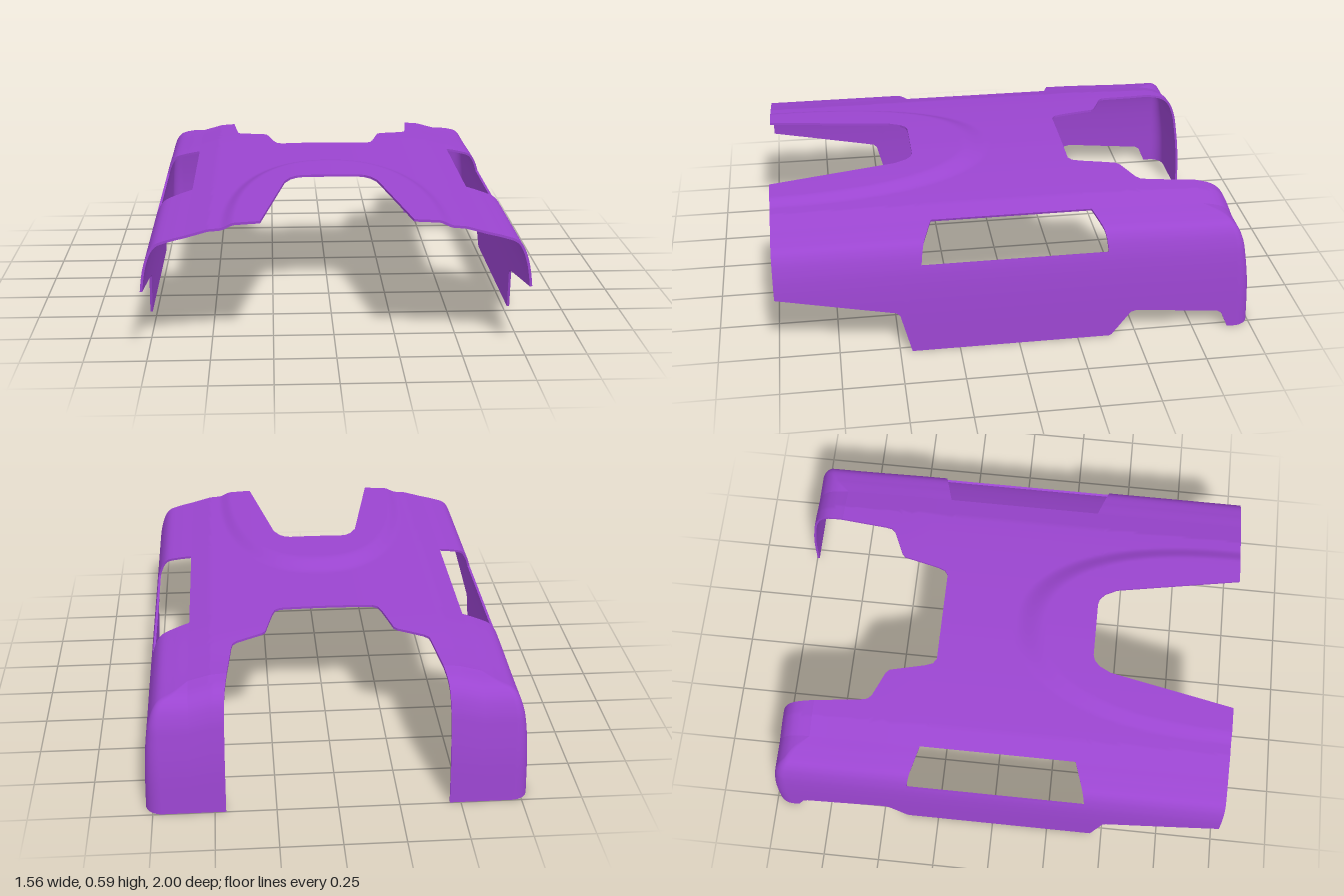
import * as THREE from 'three';

const HALF = 0.78, INSET = 0.19, EDGE = HALF - INSET, REAR = -1 + INSET, THICK = 0.01, TOP = 7, SILL = 3;
const { lerp, clamp, smoothstep } = THREE.MathUtils;

// Piecewise linear lookup; keys ascend
function lookup(pts, k) {
  if (k <= pts[0][0]) return pts[0][1];
  for (let i = 1; i < pts.length; i++) {
    const [k0, v0] = pts[i - 1], [k1, v1] = pts[i];
    if (k <= k1) return lerp(v0, v1, (k - k0) / (k1 - k0));
  }
  return pts[pts.length - 1][1];
}

// Outlines: front notch, rear notch and lower side edge, all along z
const frontNotch = [[0.38, 0.12], [0.387, 0.145], [0.41, 0.17], [0.46, 0.195], [1, 0.297]];
const rearNotch = [[-1, 0.455], [-0.61, 0.414], [-0.58, 0.408], [-0.562, 0.39], [-0.515, 0.285],
  [-0.5, 0.27], [-0.35, 0.235], [-0.315, 0.222], [-0.3, 0.2]];
const lowerEdge = [[-0.9, 0], [-0.87, 0.07], [-0.85, 0.083], [-0.5, 0.117], [-0.475, 0.11], [-0.395, 0.005],
  [-0.385, 0], [0.45, 0], [0.495, 0.175], [0.51, 0.19], [1, 0.29]];
const keys = (pts) => pts.map((p) => p[0]);

// Wall profile: (side inset, height, rear inset)
const wall = new THREE.CatmullRomCurve3([
  [0, 0, 0], [0.007, 0.2, 0.012], [0.018, 0.33, 0.03], [0.03, 0.395, 0.043],
  [0.05, 0.45, 0.065], [0.075, 0.48, 0.09], [0.13, 0.5, 0.125], [INSET, 0.515, INSET],
].map((p) => new THREE.Vector3(...p)));
const profile = (w) => wall.getPoint(clamp(w / TOP, 0, 1));
function levelAt(y) {
  let lo = 0, hi = SILL;
  for (let i = 0; i < 30; i++) {
    const m = (lo + hi) / 2;
    if (profile(m).y < y) lo = m; else hi = m;
  }
  return y <= 0 ? 0 : hi;
}

// Roof height with the raised horseshoe panel
function height(x, z) {
  const base = x < 0.5 ? 0.56 - 0.08 * x * x : lerp(0.54, 0.515, (x - 0.5) / (EDGE - 0.5));
  const r = Math.pow(Math.pow(x / 0.43, 2.3) + Math.pow(Math.abs(1 - z) / 0.92, 2.3), 1 / 2.3);
  const raise = (0.03 - 0.012 * Math.max(z, 0)) * (1 - smoothstep(r, 0.92, 1.06));
  return base + raise - 0.01 * (1 - smoothstep(z, REAR, -0.4));
}

// Points on the roof, side wall, rear corner and rear wall
const roofPoint = (x, z) => new THREE.Vector3(x, height(x, z), z);
const lift = (x, z) => height(x, z) / 0.515;
function sidePoint(z, w) {
  const p = profile(w);
  return new THREE.Vector3(HALF - p.x, p.y * lift(EDGE, z), z);
}
function cornerPoint(c, w) {
  const p = profile(w), r = 0.07 * (1 - w / TOP);
  const X = HALF - p.x, Z = -1 + p.z;
  const a = clamp(c - 1, 0, 1) * Math.PI / 2;
  let x = X - r + r * Math.cos(a), z = Z + r - r * Math.sin(a);
  if (c < 1) z = lerp(REAR, Z + r, c);
  if (c > 2) x = lerp(X - r, EDGE, c - 2);
  return new THREE.Vector3(x, p.y * lift(EDGE, REAR), z);
}
function rearPoint(f, w) {
  const p = profile(w), z = -1 + p.z;
  const x = lerp(EDGE, lookup(rearNotch, z), f);
  return new THREE.Vector3(x, p.y * lift(x, REAR), z);
}

// Sample positions that include every break
function steps(breaks, h) {
  const out = [breaks[0]];
  for (let i = 1; i < breaks.length; i++) {
    const n = Math.max(1, Math.ceil(Math.abs(breaks[i] - breaks[i - 1]) / h - 1e-6));
    for (let j = 1; j <= n; j++) out.push(lerp(breaks[i - 1], breaks[i], j / n));
  }
  return out;
}

// Thin curved panel: outer and inner skins, plus rims on the open edges
function panel(fn, as, bs, rims = {}) {
  const pos = [], nor = [], idx = [], e = 1e-3;
  const na = as.length, nb = bs.length;
  const inside = (v, l) => clamp(v, Math.min(l[0], l[l.length - 1]) + e, Math.max(l[0], l[l.length - 1]) - e);
  const normalAt = (a0, b0) => {
    const a = inside(a0, as), b = inside(b0, bs);
    const da = fn(a + e, b).sub(fn(a - e, b)), db = fn(a, b + e).sub(fn(a, b - e));
    return da.cross(db).normalize();
  };
  const am = as[na >> 1], bm = bs[nb >> 1];
  const sign = Math.sign(normalAt(am, bm).dot(fn(am, bm).sub(new THREE.Vector3(0.3, 0, 0))));
  const outer = [], inner = [];
  for (const a of as) for (const b of bs) {
    const p = fn(a, b), n = normalAt(a, b).multiplyScalar(sign);
    outer.push(p);
    inner.push(p.clone().addScaledVector(n, -THICK));
    pos.push(...p.toArray());
    nor.push(...n.toArray());
  }
  inner.forEach((p) => pos.push(...p.toArray()));
  nor.push(...nor.map((v) => -v));
  const flip = sign * Math.sign((as[na - 1] - as[0]) * (bs[nb - 1] - bs[0])) < 0;
  const tri = (i, j, k, f) => idx.push(...(f ? [i, k, j] : [i, j, k]));
  for (let i = 0; i < na - 1; i++) for (let j = 0; j < nb - 1; j++) {
    const q = i * nb + j, s = na * nb;
    for (const [o, f] of [[0, flip], [s, !flip]]) {
      tri(o + q, o + q + nb, o + q + nb + 1, f);
      tri(o + q, o + q + nb + 1, o + q + 1, f);
    }
  }
  const rim = (i, j, inward) => {
    const corners = [outer[i], outer[j], inner[j], inner[i]];
    const n = corners[1].clone().sub(corners[0]).cross(corners[3].clone().sub(corners[0])).normalize();
    const back = n.dot(outer[i].clone().sub(outer[inward])) < 0;
    if (back) n.negate();
    const s = pos.length / 3;
    corners.forEach((p) => { pos.push(...p.toArray()); nor.push(...n.toArray()); });
    tri(s, s + 1, s + 2, back);
    tri(s, s + 2, s + 3, back);
  };
  const open = (test, i, j) => test && test(outer[i].clone().lerp(outer[j], 0.5));
  for (let i = 0; i < na - 1; i++) for (const [k, j, d] of [['b0', 0, 1], ['b1', nb - 1, -1]]) {
    const q = i * nb + j;
    if (open(rims[k], q, q + nb)) rim(q, q + nb, q + d);
  }
  for (let j = 0; j < nb - 1; j++) for (const [k, i, d] of [['a0', 0, nb], ['a1', na - 1, -nb]]) {
    const q = i * nb + j;
    if (open(rims[k], q, q + 1)) rim(q, q + 1, q + d);
  }
  const g = new THREE.BufferGeometry();
  g.setAttribute('position', new THREE.Float32BufferAttribute(pos, 3));
  g.setAttribute('normal', new THREE.Float32BufferAttribute(nor, 3));
  g.setIndex(idx);
  return g;
}

function mirrored(g) {
  const m = g.clone().scale(-1, 1, 1), a = m.index.array;
  for (let i = 0; i < a.length; i += 3) [a[i], a[i + 1]] = [a[i + 1], a[i]];
  return m;
}

export function createModel() {
  const group = new THREE.Group();
  const material = new THREE.MeshStandardMaterial({ color: 0x9b45d0, side: THREE.DoubleSide });
  const add = (name, g) => {
    for (const [side, geo] of [['left', g], ['right', mirrored(g)]]) {
      const mesh = new THREE.Mesh(geo, material);
      mesh.name = side + name;
      group.add(mesh);
    }
  };
  const all = () => true;
  const window0 = -0.33, window1 = 0.345;
  const atWindow = (p) => p.z > window0 && p.z < window1;

  // Roof: front arm, middle and rear arm
  const roof = (notch) => (z, f) => roofPoint(lerp(notch ? lookup(notch, z) : 0, EDGE, f), z);
  const across = steps([0, 0.12 / EDGE, 0.2 / EDGE, 0.5 / EDGE, 1], 0.025);
  add('RoofFront', panel(roof(frontNotch), steps(keys(frontNotch), 0.025), steps([0, 1], 0.03), { b0: all, a1: all }));
  add('RoofMiddle', panel(roof(null), steps([-0.3, window1, 0.38], 0.015), across,
    { a0: (p) => p.x < 0.2, a1: (p) => p.x < 0.12, b1: atWindow }));
  add('RoofRear', panel(roof(rearNotch), steps([REAR, ...keys(rearNotch).slice(1, -1), window0, -0.3].sort((a, b) => a - b), 0.03),
    steps([0, 1], 0.04), { b0: all, b1: atWindow }));

  // Side skirt below the window, following the lower edge
  const toSill = (point, bottom) => (a, f) => point(a, lerp(levelAt(bottom(a)), SILL, f));
  const rows = steps([0, 1], 0.08);
  const sillBreaks = [REAR, ...keys(lowerEdge).filter((z) => z > REAR), -0.375, 0.4].sort((a, b) => a - b);
  add('SideSkirt', panel(toSill(sidePoint, (z) => lookup(lowerEdge, z)), steps(sillBreaks, 0.05), rows,
    { b0: all, a1: all, b1: (p) => p.z > -0.375 && p.z < 0.4 }));

  // Shoulders in front of and behind the window
  const shoulder = (end, low, high) => (f, w) =>
    sidePoint(lerp(end, lerp(low, high, (profile(w).x - 0.03) / 0.16), f), w);
  const upper = steps([SILL, TOP], 0.2);
  add('FrontShoulder', panel(shoulder(1, 0.4, window1), steps([0, 1], 0.05), upper, { a0: all, a1: all }));
  add('RearShoulder', panel(shoulder(REAR, -0.375, window0), steps([0, 1], 0.05), upper, { a1: all }));

  // Rounded rear corner
  const cornerBottom = (c) => lookup(lowerEdge, REAR - 0.12 * Math.min(c, 1));
  const cornerSteps = steps([0, 0.333, 0.5, 0.75, 1, 2, 3], 0.12);
  add('RearCornerLower', panel(toSill(cornerPoint, cornerBottom), cornerSteps, rows, { b0: all }));
  add('RearCornerUpper', panel(cornerPoint, cornerSteps, upper));

  // Rear wall of each leg
  add('RearWall', panel(rearPoint, steps([0, 1], 0.1), steps([0, TOP], 0.2), { a1: all, b0: all }));
  return group;
}
